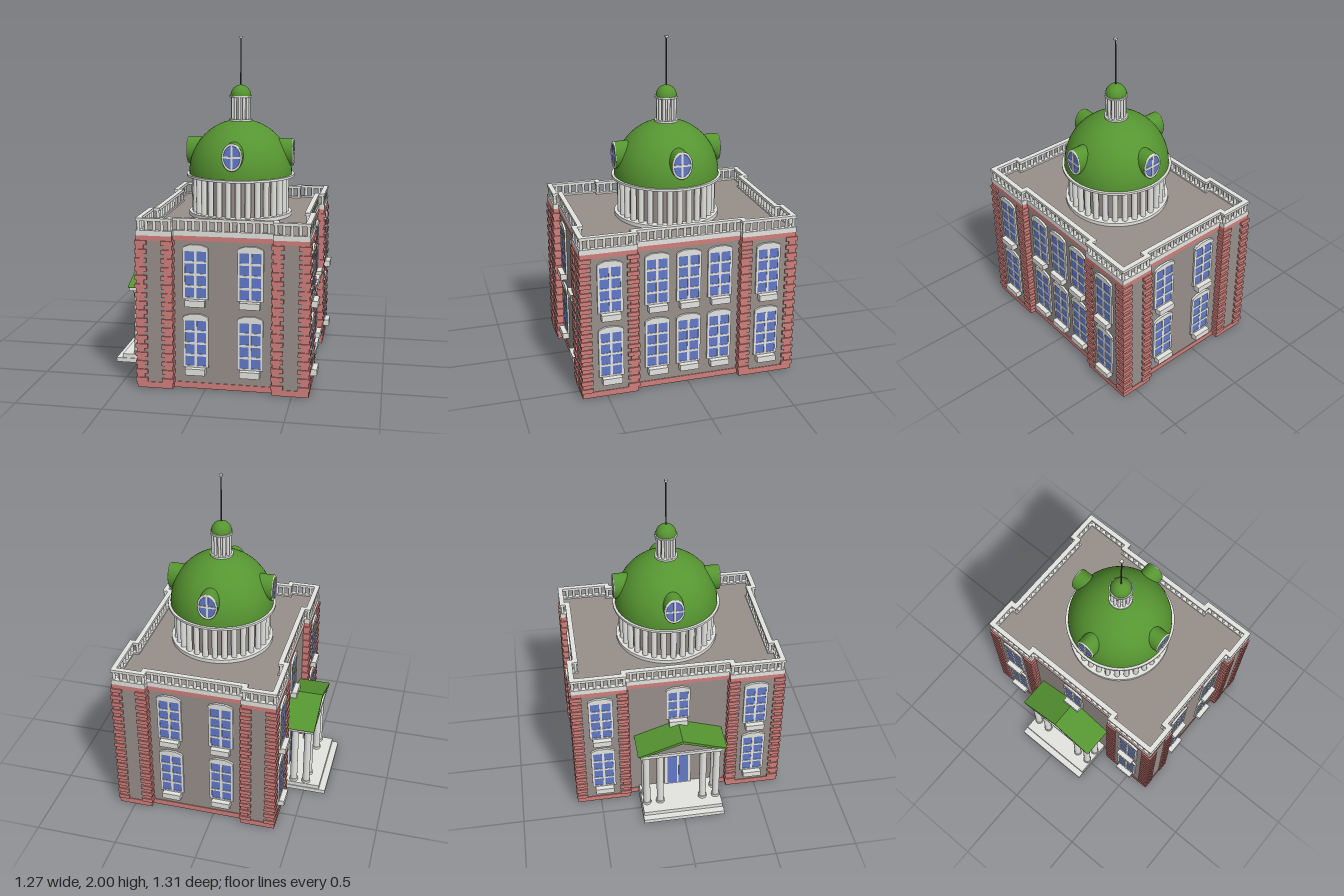
import * as THREE from 'three';

const mat = (name, color, side = THREE.FrontSide) => {
  const m = new THREE.MeshStandardMaterial({ color, side });
  m.name = name;
  return m;
};

export function createModel() {
  const wall = mat('stone wall', 0x988f8a);
  const brick = mat('red brick', 0xd07f7b);
  const trim = mat('pale trim', 0xe4e4e1);
  const green = mat('green roof', 0x569531, THREE.DoubleSide);
  const glass = mat('blue glass', 0x6179c8);
  const metal = mat('dark metal', 0x44444e);

  const root = new THREE.Group();
  root.name = 'domedHall';
  const CX = 0.102; // centre of the main block

  const add = (parent, name, geo, m, x = 0, y = 0, z = 0) => {
    const mesh = new THREE.Mesh(geo, m);
    mesh.name = name;
    mesh.position.set(x, y, z);
    parent.add(mesh);
    return mesh;
  };
  const group = (parent, name, x = 0, y = 0, z = 0) => {
    const g = new THREE.Group();
    g.name = name;
    g.position.set(x, y, z);
    parent.add(g);
    return g;
  };
  const box = (w, h, d) => new THREE.BoxGeometry(w, h, d);
  const cyl = (r, h, n = 12) => new THREE.CylinderGeometry(r, r, h, n);
  const extrude = (shape, depth) =>
    new THREE.ExtrudeGeometry(shape, { depth, bevelEnabled: false, curveSegments: 8 });
  const poly = pts => pts.map(p => new THREE.Vector2(p[0], p[1]));
  const block = group(root, 'mainBlock', CX);

  // Footprint with corner pavilions and recessed middles, grown by o
  const A = 0.491, B = 0.643, a = 0.29, b = 0.315, R = 0.035;
  const footprint = o => {
    const X = A + o, Z = B + o, x = a - o, z = b - o;
    const q = [[X - R, z], [X, z], [X, Z], [x, Z], [x, Z - R]];
    const m = (sx, sz) => q.map(p => [p[0] * sx, p[1] * sz]);
    return poly([...m(1, 1), ...m(-1, 1).reverse(), ...m(-1, -1), ...m(1, -1).reverse()]);
  };
  const slab = (name, o, y0, y1, m, hole) => {
    const s = new THREE.Shape(footprint(o));
    if (hole !== undefined) s.holes.push(new THREE.Path(footprint(hole).reverse()));
    const g = extrude(s, y1 - y0);
    g.rotateX(-Math.PI / 2);
    add(block, name, g, m, 0, y0);
  };
  slab('foundation', -0.012, 0, 0.01, trim);
  slab('walls', 0, 0.003, 0.92, wall);
  slab('baseCourse', 0.004, 0.002, 0.037, brick);
  slab('brickBand', 0.003, 0.872, 0.9, brick);
  slab('cornice', 0.004, 0.9, 0.93, trim, -0.026);
  slab('handrail', 0.004, 0.983, 1.0, trim, -0.026);

  // Balusters along the parapet
  const path = footprint(-0.011);
  const balusterGeo = cyl(0.01, 0.055, 8);
  path.forEach((p, i) => {
    const q = path[(i + 1) % path.length];
    const n = Math.max(1, Math.round(p.distanceTo(q) / 0.043));
    for (let k = 0; k < n; k++) {
      const v = p.clone().lerp(q, k / n);
      add(block, 'baluster', balusterGeo, trim, v.x, 0.9565, v.y);
    }
  });

  // Alternating quoins on every projecting corner
  const rows = 33, rowH = (0.872 - 0.037) / rows;
  const quoinGeo = [0.07, 0.045].map(w => box(w, rowH, w));
  for (const sx of [1, -1]) for (const sz of [1, -1]) {
    // corner position and its outward directions
    for (const [x, z, dx, dz] of [[A, B, 1, 1], [a, B, -1, 1], [A, b, 1, -1]]) {
      for (let r = 0; r < rows; r++) {
        const off = r % 2 ? 0.004 - 0.0225 : 0.011 - 0.035;
        add(block, 'quoin', quoinGeo[r % 2], brick,
          sx * (x + dx * off), 0.037 + (r + 0.5) * rowH, sz * (z + dz * off));
      }
    }
  }

  // Windows: frame with two columns of panes, arched head and sill
  const PITCH = 0.0705;
  const frame = count => {
    const y0 = 0.13 + (4 - count) * PITCH;
    const s = new THREE.Shape(poly([[-0.074, y0], [0.074, y0], [0.074, 0.422], [-0.074, 0.422]]));
    for (const x of [-0.061, 0.007]) for (let r = 0; r < count; r++) {
      const y = y0 + 0.01 + r * PITCH;
      s.holes.push(new THREE.Path(poly([[x, y], [x, y + 0.057], [x + 0.054, y + 0.057], [x + 0.054, y]])));
    }
    return extrude(s, 0.01);
  };
  const frames = { 3: frame(3), 4: frame(4) };
  const headGeo = extrude(new THREE.Shape(poly([[-0.074, 0.412], [0.074, 0.412], [0.074, 0.425],
    [0.066, 0.434], [0.03, 0.447], [-0.03, 0.447], [-0.066, 0.434], [-0.074, 0.425]])), 0.013);
  const sillGeo = box(0.115, 0.038, 0.04);
  const windowAt = (x, y, z, angle, count = 4) => {
    const g = group(block, 'window', x, y, z);
    const lift = (4 - count) * PITCH;
    g.rotation.y = angle;
    add(g, 'windowFrame', frames[count], trim);
    add(g, 'windowHead', headGeo, trim);
    add(g, 'windowPane', box(0.14, 0.28 - lift, 0.006), glass, 0, 0.276 + lift / 2, 0.004);
    add(g, 'windowSill', sillGeo, trim, 0, 0.11 + lift, 0.02);
  };
  for (const y of [0, 0.405]) {
    for (const x of [-0.157, 0.157]) {
      windowAt(x, y, B - R, 0);
      windowAt(x, y, -B + R, Math.PI);
    }
    for (const z of [-0.475, 0.475]) {
      windowAt(A, y, z, Math.PI / 2);
      windowAt(-A, y, z, -Math.PI / 2);
    }
    for (const z of [-0.19, 0, 0.19]) windowAt(A - R, y, z, Math.PI / 2);
  }
  // Shorter window above the porch
  windowAt(-A + R, 0.405, 0, -Math.PI / 2, 3);

  // Drum with a ring of columns
  const tower = group(root, 'domeTower', CX);
  add(tower, 'drum', cyl(0.26, 0.25, 48), wall, 0, 1.04);
  add(tower, 'drumBase', cyl(0.315, 0.025, 48), trim, 0, 0.93);
  add(tower, 'drumCornice', cyl(0.33, 0.014, 64), trim, 0, 1.166);
  const ring = (name, n, radius, r, h, y) => {
    const geo = cyl(r, h, 12);
    for (let i = 0; i < n; i++) {
      const t = (i / n) * Math.PI * 2;
      add(tower, name, geo, trim, Math.cos(t) * radius, y, Math.sin(t) * radius);
    }
  };
  ring('drumColumn', 30, 0.28, 0.018, 0.22, 1.05);

  // Dome
  const half = r => new THREE.SphereGeometry(r, 48, 24, 0, Math.PI * 2, 0, Math.PI / 2);
  add(tower, 'dome', half(0.315), green, 0, 1.172).scale.y = 1.045;

  // Four round dormers with oval windows
  const hood = new THREE.CylinderGeometry(1, 1, 0.22, 32).rotateX(Math.PI / 2).scale(0.062, 0.082, 1);
  const rimGeo = new THREE.TorusGeometry(0.055, 0.006, 8, 32).scale(1, 1.36, 1);
  const ovalGeo = new THREE.CircleGeometry(0.055, 32).scale(1, 1.36, 1);
  for (let i = 0; i < 4; i++) {
    const d = group(tower, 'dormer', 0, 1.308, 0);
    d.rotation.y = i * Math.PI / 2;
    add(d, 'dormerHood', hood, green, 0, 0, 0.212);
    add(d, 'dormerPane', ovalGeo, glass, 0, 0, 0.3235);
    add(d, 'dormerRim', rimGeo, trim, 0, 0, 0.322);
    add(d, 'dormerBar', box(0.11, 0.012, 0.006), trim, 0, 0, 0.324);
    add(d, 'dormerBar', box(0.012, 0.15, 0.006), trim, 0, 0, 0.324);
  }

  // Lantern and spire
  add(tower, 'lanternBase', cyl(0.07, 0.014, 32), trim, 0, 1.497);
  add(tower, 'lanternCore', cyl(0.03, 0.14, 24), trim, 0, 1.57);
  ring('lanternColumn', 12, 0.052, 0.009, 0.14, 1.57);
  add(tower, 'lanternCornice', cyl(0.069, 0.01, 32), trim, 0, 1.64);
  add(tower, 'lanternDome', half(0.062), green, 0, 1.645).scale.y = 1.04;
  add(tower, 'spire', cyl(0.004, 0.29, 8), metal, 0, 1.85);
  add(tower, 'spireTip', box(0.018, 0.012, 0.018), trim, 0, 1.994);

  // Portico on the side wall
  const porch = group(root, 'portico');
  add(porch, 'lowerStep', box(0.275, 0.026, 0.51), trim, -0.4975, 0.013);
  add(porch, 'upperStep', box(0.24, 0.026, 0.5), trim, -0.475, 0.039);
  const gable = (name, pts, x, depth, m) => {
    const g = extrude(new THREE.Shape(poly(pts)), depth);
    g.rotateY(-Math.PI / 2);
    add(porch, name, g, m, x);
  };
  gable('porchRoof', [[-0.275, 0.488], [-0.25, 0.48], [0, 0.562], [0.25, 0.48], [0.275, 0.488], [0, 0.582]],
    -0.353, 0.197, green);
  gable('pediment', [[-0.25, 0.48], [0.25, 0.48], [0, 0.562]], -0.353, 0.18, wall);
  add(porch, 'entablature', box(0.19, 0.022, 0.52), trim, -0.45, 0.473);
  for (const [x, z] of [[-0.505, 0.22], [-0.505, 0.135], [-0.425, 0.22]]) for (const s of [1, -1]) {
    add(porch, 'porchColumn', cyl(0.022, 0.415, 20), trim, x, 0.258, z * s);
    add(porch, 'columnBase', cyl(0.027, 0.018, 20), trim, x, 0.06, z * s);
    add(porch, 'columnCapital', cyl(0.027, 0.014, 20), trim, x, 0.456, z * s);
  }
  // Entrance door
  add(porch, 'doorFrame', box(0.016, 0.36, 0.17), trim, -0.36, 0.23);
  for (const z of [-0.036, 0.036]) add(porch, 'doorPane', box(0.006, 0.32, 0.06), glass, -0.368, 0.22, z);

  return root;
}
